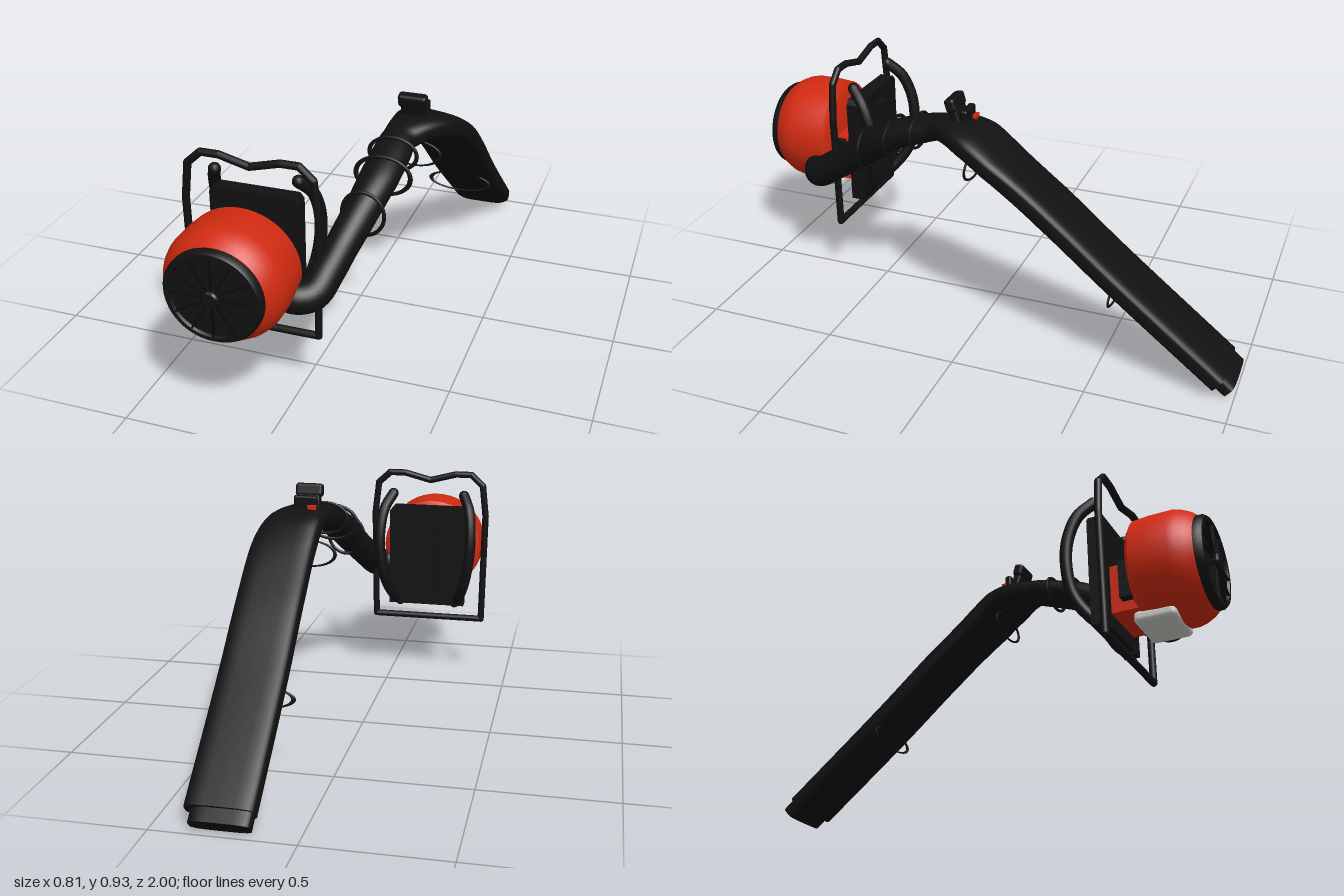
import * as THREE from 'three';
import { RoundedBoxGeometry } from 'three/addons/geometries/RoundedBoxGeometry.js';
import { toCreasedNormals } from 'three/addons/utils/BufferGeometryUtils.js';

const V = (x, y, z) => new THREE.Vector3(x, y, z);

function material(name, color) {
  const m = new THREE.MeshStandardMaterial({ color, side: THREE.DoubleSide });
  m.name = name;
  return m;
}

// Loft superellipse sections [x, y, z, halfWidth, halfHeight, exponent] along a smooth path
function loft(sections, steps = 6, sides = 32) {
  const curve = new THREE.CatmullRomCurve3(sections.map(s => V(s[0], s[1], s[2])));
  const n = (sections.length - 1) * steps;
  const pos = [], idx = [], up = V(0, 1, 0);
  const ring = t => {
    const f = t * (sections.length - 1);
    const k = Math.min(Math.floor(f), sections.length - 2);
    const [hw, hh, e] = [3, 4, 5].map(j => THREE.MathUtils.lerp(sections[k][j], sections[k + 1][j], f - k));
    const c = curve.getPoint(t), T = curve.getTangent(t);
    const S = up.clone().cross(T).normalize(), U = T.clone().cross(S);
    const pow = v => Math.sign(v) * Math.pow(Math.abs(v), 2 / e);
    for (let j = 0; j < sides; j++) {
      const a = (j / sides) * Math.PI * 2;
      const p = c.clone().addScaledVector(S, hw * pow(Math.cos(a))).addScaledVector(U, hh * pow(Math.sin(a)));
      pos.push(p.x, p.y, p.z);
    }
    return c;
  };
  for (let i = 0; i <= n; i++) ring(i / n);
  for (let i = 0; i < n; i++) for (let j = 0; j < sides; j++) {
    const a = i * sides + j, b = i * sides + (j + 1) % sides;
    idx.push(a, b, b + sides, a, b + sides, a + sides);
  }
  // End caps with their own vertices
  for (const t of [0, 1]) {
    const base = pos.length / 3, c = ring(t);
    pos.push(c.x, c.y, c.z);
    for (let j = 0; j < sides; j++) {
      const a = base + j, b = base + (j + 1) % sides;
      idx.push(base + sides, t ? a : b, t ? b : a);
    }
  }
  const g = new THREE.BufferGeometry();
  g.setAttribute('position', new THREE.Float32BufferAttribute(pos, 3));
  g.setIndex(idx);
  g.computeVertexNormals();
  return g;
}

// Turned part along z from [radius, z] points
function turned(points) {
  const g = new THREE.LatheGeometry(points.map(p => new THREE.Vector2(p[0], p[1])), 48);
  g.rotateX(Math.PI / 2);
  return toCreasedNormals(g, 0.7);
}

export function createModel() {
  const model = new THREE.Group();
  model.name = 'backpackBlower';
  const black = material('black plastic', 0x111111);
  const dark = material('dark black', 0x0a0a0a);
  const orange = material('orange red casing', 0xd02a10);
  const white = material('white tank', 0xd0d0c8);

  const add = (name, geo, mat, x = 0, y = 0, z = 0, parent = model) => {
    const m = new THREE.Mesh(geo, mat);
    m.name = name;
    m.position.set(x, y, z);
    parent.add(m);
    return m;
  };
  const box = (w, h, d) => new THREE.BoxGeometry(w, h, d);
  const CX = -0.155;

  // Engine housing and fan cover
  const engine = new THREE.Group();
  engine.name = 'engine';
  engine.position.set(CX, 0.549, 0);
  engine.scale.y = 0.96;
  model.add(engine);
  add('housing', turned([[0.001, 0.725], [0.185, 0.725], [0.208, 0.742], [0.213, 0.8], [0.213, 0.88],
    [0.207, 0.905], [0.192, 0.935], [0.174, 0.957], [0.001, 0.957]]), orange, 0, 0, 0, engine);
  add('fanCover', turned([[0.172, 0.95], [0.172, 0.975], [0.163, 0.987], [0.15, 0.987], [0.145, 0.978], [0.001, 0.978]]),
    black, 0, 0, 0, engine);
  add('fanHub', turned([[0.03, 0.975], [0.03, 0.993], [0.024, 1], [0.001, 1]]), black, 0, 0, 0, engine);
  for (let i = 0; i < 12; i++) {
    const a = (i / 12) * Math.PI * 2;
    const rib = add('fanRib', box(0.122, 0.006, 0.01), dark, Math.cos(a) * 0.087, Math.sin(a) * 0.087, 0.983, engine);
    rib.rotation.z = a;
  }

  // Motor block between housing and back panel
  add('motorBlock', box(0.21, 0.18, 0.1), orange, CX, 0.475, 0.69);
  add('motorMount', box(0.28, 0.14, 0.045), black, CX, 0.49, 0.705);
  add('fuelTank', new RoundedBoxGeometry(0.2, 0.045, 0.15, 4, 0.018), white, CX, 0.358, 0.785);

  // Back panel with cut upper corners
  const panel = new THREE.Shape([[-0.16, 0.33], [0.16, 0.33], [0.16, 0.735], [0.145, 0.754], [-0.145, 0.754], [-0.16, 0.735]]
    .map(p => new THREE.Vector2(...p)));
  add('backPanel', new THREE.ExtrudeGeometry(panel, { depth: 0.055, bevelEnabled: false }), black, CX, 0, 0.585);
  add('backPad', box(0.07, 0.3, 0.03), black, CX, 0.55, 0.575);

  // Carrying frame: straight bars joined by small elbows
  const half = [[0.23, 0.255], [0.237, 0.71], [0.222, 0.84], [0.173, 0.885], [0.108, 0.885], [0, 0.857]];
  const bar = (a, b) => {
    const d = b.clone().sub(a);
    const m = add('frameBar', new THREE.CylinderGeometry(0.0135, 0.0135, d.length() + 0.006, 12), black);
    m.position.copy(a).add(b).multiplyScalar(0.5);
    m.quaternion.setFromUnitVectors(V(0, 1, 0), d.normalize());
  };
  for (const s of [-1, 1]) {
    const pts = half.map(p => V(CX + s * p[0], p[1], 0.66));
    pts.slice(1).forEach((p, i) => bar(pts[i], p));
    pts.forEach(p => add('frameElbow', new THREE.SphereGeometry(0.0135, 12, 8), black, p.x, p.y, p.z));
  }
  bar(V(CX - 0.23, 0.255, 0.66), V(CX + 0.23, 0.255, 0.66));

  // Shoulder straps
  const strap = [[0.15, 0.805, 0.61], [0.178, 0.75, 0.56], [0.19, 0.66, 0.525], [0.187, 0.56, 0.515],
    [0.168, 0.45, 0.53], [0.142, 0.375, 0.575], [0.118, 0.335, 0.62]];
  for (const s of [-1, 1]) {
    const pts = strap.map(p => V(CX + s * p[0], p[1], p[2]));
    add(s > 0 ? 'leftStrap' : 'rightStrap', new THREE.TubeGeometry(new THREE.CatmullRomCurve3(pts), 32, 0.022, 12), black);
    for (const p of [pts[0], pts[6]]) add('strapEnd', new THREE.SphereGeometry(0.022, 12, 8), black, p.x, p.y, p.z);
  }

  // Blower tube flaring into the long flat nozzle
  add('blowerTube', loft([
    [-0.03, 0.475, 0.755, 0.055, 0.055, 2],
    [0.035, 0.462, 0.762, 0.057, 0.057, 2],
    [0.085, 0.468, 0.73, 0.058, 0.058, 2],
    [0.11, 0.515, 0.66, 0.058, 0.058, 2],
    [0.13, 0.57, 0.58, 0.058, 0.058, 2],
    [0.16, 0.65, 0.47, 0.062, 0.06, 2],
    [0.185, 0.725, 0.36, 0.07, 0.056, 2],
    [0.195, 0.77, 0.25, 0.07, 0.052, 2],
    [0.2, 0.798, 0.16, 0.064, 0.047, 2.2],
    [0.232, 0.815, 0.07, 0.095, 0.045, 2.8],
    [0.26, 0.8, -0.01, 0.115, 0.045, 3.2],
    [0.275, 0.745, -0.1, 0.122, 0.043, 3.6],
    [0.276, 0.592, -0.3, 0.122, 0.042, 4],
    [0.273, 0.39, -0.54, 0.122, 0.041, 4],
    [0.271, 0.07, -0.942, 0.121, 0.04, 4],
  ]), black);
  add('nozzleTip', loft([[0.262, 0.09, -0.915, 0.106, 0.032, 4], [0.262, 0.036, -0.98, 0.106, 0.032, 4]]), black);

  // Thin clamp rings around the tube and hanging wire loops
  const hoop = (name, x, y, z, rx, ry, r) => {
    const g = new THREE.TorusGeometry(1, r / 0.1, 8, 40);
    g.scale(rx, ry, 0.06);
    add(name, g, black, x, y, z);
  };
  hoop('tubeClamp', 0.17, 0.648, 0.475, 0.075, 0.08, 0.009);
  hoop('tubeClamp', 0.196, 0.733, 0.34, 0.098, 0.07, 0.009);
  hoop('tubeClamp', 0.2, 0.772, 0.24, 0.086, 0.062, 0.009);
  hoop('hangingLoop', 0.212, 0.682, 0.02, 0.1, 0.05, 0.007);
  hoop('hangingLoop', 0.255, 0.31, -0.54, 0.124, 0.04, 0.007);

  // Control grip with trigger
  const grip = new THREE.Group();
  grip.name = 'controlGrip';
  grip.position.set(0.224, 0.888, 0.078);
  grip.rotation.x = 0.28;
  model.add(grip);
  add('gripBody', new RoundedBoxGeometry(0.09, 0.1, 0.036, 3, 0.012), black, 0, -0.008, 0, grip);
  add('gripHead', new RoundedBoxGeometry(0.106, 0.05, 0.04, 3, 0.012), black, 0, 0.028, 0, grip);
  add('lever', new RoundedBoxGeometry(0.09, 0.06, 0.026, 3, 0.008), black, 0.228, 0.873, 0.036);
  add('trigger', box(0.032, 0.02, 0.02), orange, 0.2, 0.86, 0.02);

  return model;
}
